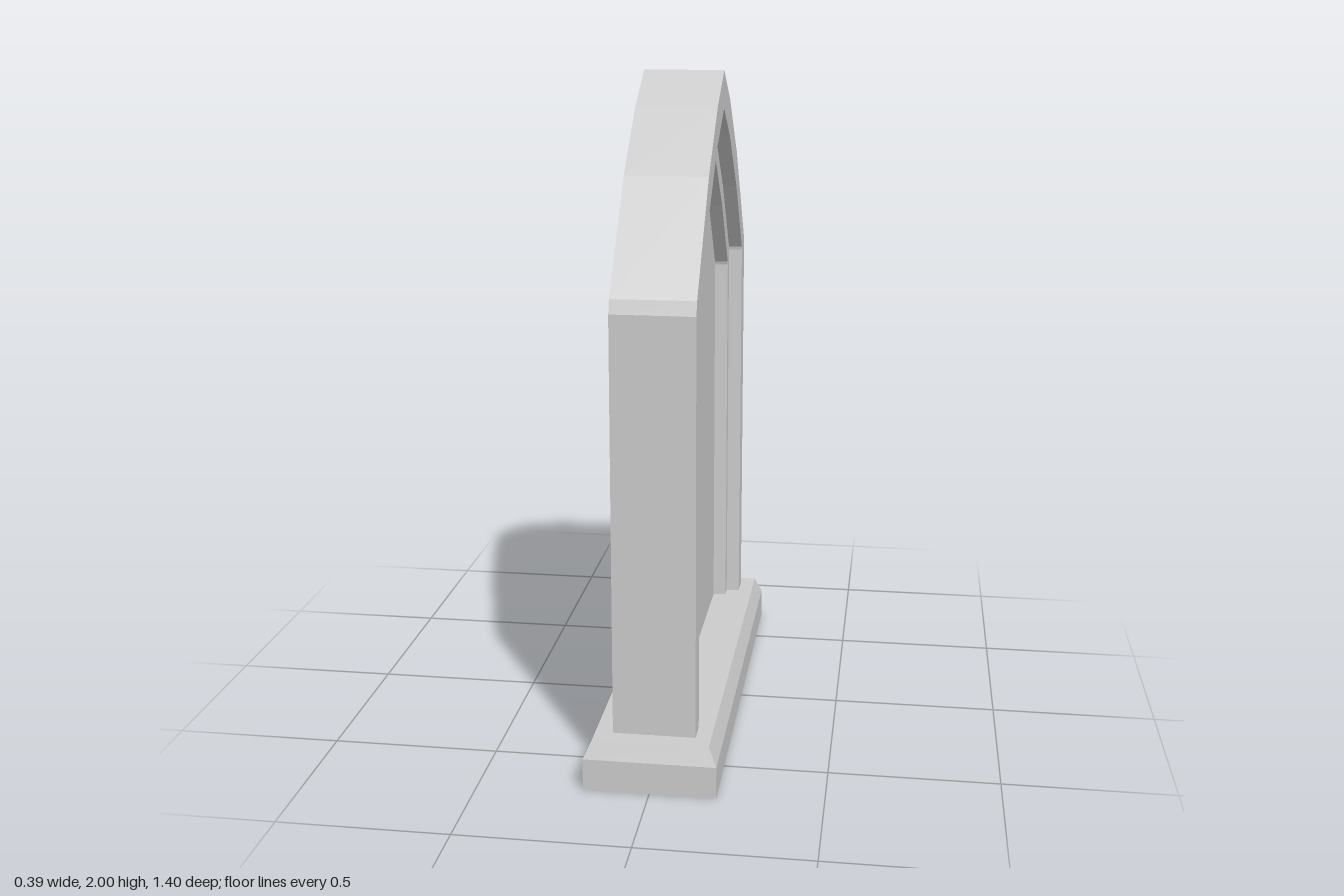
import * as THREE from 'three';

const BASE_TOP = 0.148;

// Full arch outline at depth x, mirrored from half of it ([z, y], foot to apex)
function arch(x, half, inset = 0) {
  const left = [[half[0][0], BASE_TOP], ...half]
    .map(([z, y]) => new THREE.Vector3(x, y, Math.max(z - inset, 0)));
  const right = left.slice(0, -1).reverse().map(p => new THREE.Vector3(p.x, p.y, -p.z));
  return [...left, ...right];
}

// Skin a series of outlines with flat quads
function loft(outlines) {
  const pos = [];
  const tri = (a, b, c) => {
    if (a.equals(b) || b.equals(c) || c.equals(a)) return;
    for (const p of [a, b, c]) pos.push(p.x, p.y, p.z);
  };
  for (let k = 0; k < outlines.length - 1; k++) {
    const A = outlines[k], B = outlines[k + 1];
    for (let i = 0; i < A.length - 1; i++) {
      tri(A[i], B[i], B[i + 1]);
      tri(A[i], B[i + 1], A[i + 1]);
    }
  }
  const g = new THREE.BufferGeometry();
  g.setAttribute('position', new THREE.Float32BufferAttribute(pos, 3));
  g.computeVertexNormals();
  return g;
}

export function createModel() {
  const group = new THREE.Group();
  group.name = 'gravestone';
  const material = new THREE.MeshStandardMaterial({ color: 0xcccccc, flatShading: true });

  // Plinth: a box whose top edge is chamfered
  const plinthGeo = new THREE.BoxGeometry(0.386, BASE_TOP, 1.4, 1, 2, 1);
  const p = plinthGeo.attributes.position;
  for (let i = 0; i < p.count; i++) {
    const y = p.getY(i);
    if (Math.abs(y) < 0.001) p.setY(i, 0.021);
    else if (y > 0) p.setXYZ(i, Math.sign(p.getX(i)) * 0.169, y, Math.sign(p.getZ(i)) * 0.679);
  }
  plinthGeo.translate(0, BASE_TOP / 2, 0);
  plinthGeo.computeVertexNormals();
  const plinth = new THREE.Mesh(plinthGeo, material);
  plinth.name = 'plinth';
  group.add(plinth);

  // Slab: pointed arch with a panel recessed in two steps on the +x face
  const outer = [[0.627, 1.38], [0.613, 1.42], [0.365, 1.725], [0.164, 1.902], [0, 2]];
  const middle = [[0.556, 1.375], [0.553, 1.387], [0.365, 1.612], [0.164, 1.79], [0, 1.888]];
  const inner = [[0.513, 1.33], [0.509, 1.342], [0.335, 1.555], [0.164, 1.71], [0, 1.812]];
  const back = -0.117, front = 0.124, ledge = 0.081, panel = 0.039;
  const point = x => Array(11).fill(new THREE.Vector3(x, BASE_TOP, 0));
  const slab = new THREE.Mesh(loft([
    point(back),
    arch(back, outer),
    arch(front, outer),
    arch(front, middle),
    arch(ledge, middle, 0.006),
    arch(ledge, inner),
    arch(panel, inner, 0.006),
    point(panel),
  ]), material);
  slab.name = 'archedSlab';
  group.add(slab);

  return group;
}
